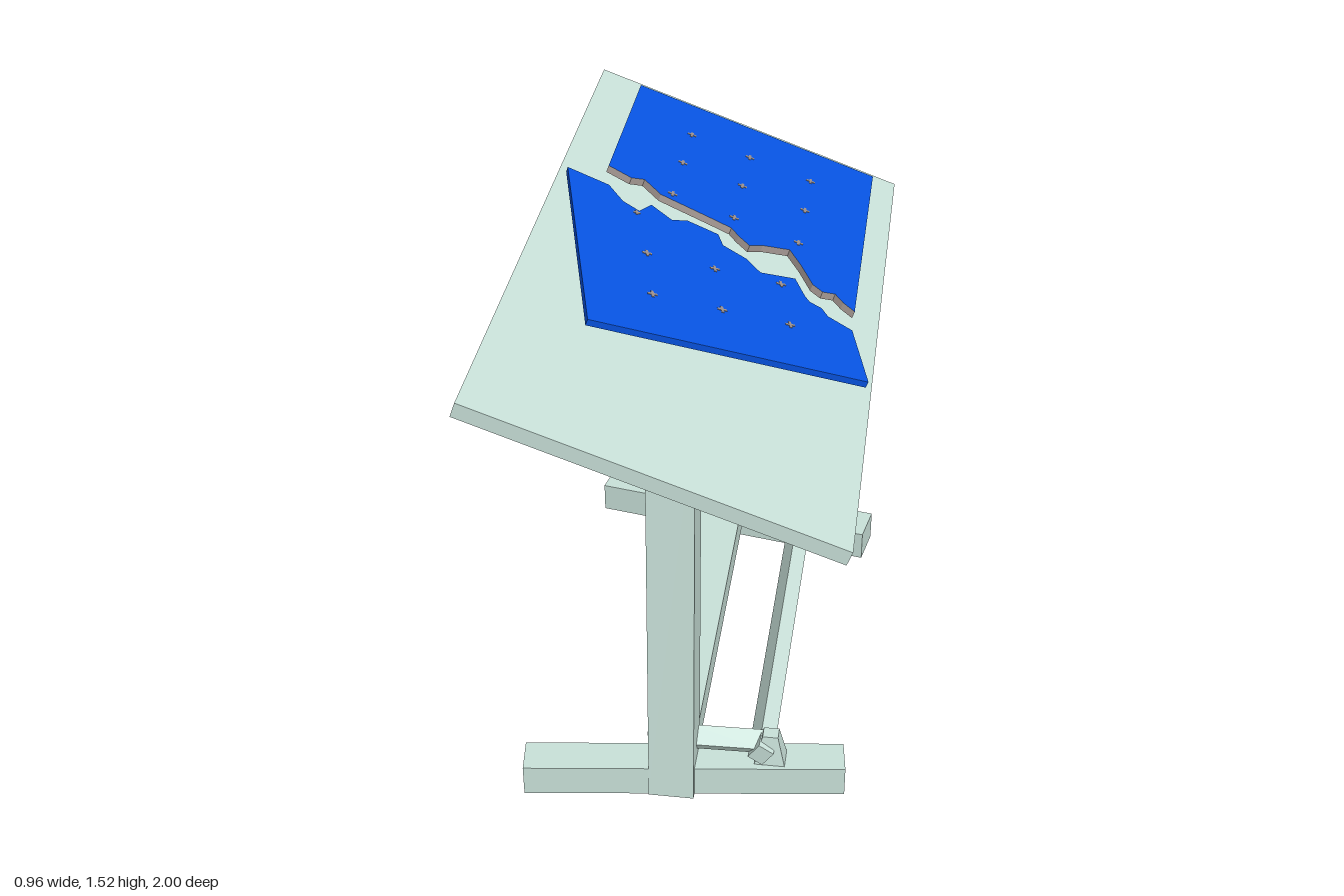
import * as THREE from 'three';

const mat = (name, color, side = THREE.FrontSide) => {
  const m = new THREE.MeshStandardMaterial({ color, side });
  m.name = name;
  return m;
};

export function createModel() {
  const root = new THREE.Group();
  root.name = 'tiltedTable';
  const paint = mat('paleGreenPaint', 0xcbe3db);
  const blue = mat('panelBlue', 0x0754e4, THREE.DoubleSide);
  const broken = mat('brokenEdgeGrey', 0x9c908b, THREE.DoubleSide);
  const TILT = THREE.MathUtils.degToRad(20);
  const COS = Math.cos(TILT);

  const add = (parent, name, geometry, material) => {
    const mesh = new THREE.Mesh(geometry, material);
    mesh.name = name;
    parent.add(mesh);
    return mesh;
  };

  // Box whose eight corners are placed by a rule of their signs
  const warpBox = (rule) => {
    const g = new THREE.BoxGeometry(2, 2, 2);
    const p = g.attributes.position;
    for (let i = 0; i < p.count; i++) p.setXYZ(i, ...rule(p.getX(i), p.getY(i), p.getZ(i)));
    const flat = g.toNonIndexed();
    flat.computeVertexNormals();
    return flat;
  };

  // Straight bar from a to b, rolled about its own length
  const bar = (name, a, b, w, h, roll) => {
    const from = new THREE.Vector3(...a), to = new THREE.Vector3(...b);
    const mesh = add(root, name, new THREE.BoxGeometry(w, h, from.distanceTo(to)), paint);
    mesh.position.copy(from).add(to).multiplyScalar(0.5);
    mesh.lookAt(to);
    mesh.rotateZ(roll);
  };

  // Tilted top
  const top = add(root, 'tableTop', new THREE.BoxGeometry(1.006, 0.042, 2), paint);
  top.position.y = 1.303;
  top.rotation.z = -TILT;

  // Leaning legs, cut to the slope of the top
  const leg = (name, zLow, zHigh, half) => add(root, name, warpBox((sx, sy, sz) => {
    const x = -0.015 + 0.065 * sx;
    return [x, sy < 0 ? 0.002 : 1.288 - 0.364 * x, (sy < 0 ? zLow : zHigh) + half * sz];
  }), paint);
  leg('frontLeg', 0.635, 0.565, 0.064);
  leg('backLeg', -0.685, -0.595, 0.065);

  // Feet, turned slightly toward each other
  const foot = (name, z, width, yaw) => {
    const mesh = add(root, name, new THREE.BoxGeometry(0.92, 0.096, width), paint);
    mesh.position.set(0.014, 0.048, z);
    mesh.rotation.y = yaw;
  };
  foot('frontFoot', 0.627, 0.107, 0.124);
  foot('backFoot', -0.655, 0.127, -0.187);

  // Low stretcher, foot rest bar and its arms
  const stretcher = add(root, 'stretcher', new THREE.BoxGeometry(0.14, 0.09, 1.26), paint);
  stretcher.position.set(-0.025, 0.11, -0.025);
  bar('footRest', [0.235, 0.137, 0.64], [0.252, 0.211, -0.675], 0.05, 0.058, 0.6);
  bar('frontArm', [0.03, 0.15, 0.6], [0.24, 0.155, 0.6], 0.06, 0.03, 0.5);
  bar('backArm', [0.03, 0.205, -0.655], [0.25, 0.222, -0.655], 0.05, 0.055, 0);
  add(root, 'footRestBracket', warpBox((sx, sy, sz) => [
    0.26 + (sy < 0 ? 0.045 : 0.022) * sx, sy < 0 ? 0.09 : 0.19, 0.6 + (sy < 0 ? 0.035 : 0.02) * sz,
  ]), paint);

  // Broken panel, laid just above the top
  const panel = new THREE.Group();
  panel.name = 'brokenPanel';
  panel.position.y = 1.341;
  panel.rotation.z = -TILT;
  root.add(panel);
  const THICK = 0.019;

  const walls = (upper, lower) => {
    const pos = [];
    const put = ([x, z], y) => pos.push(x / COS, y, z);
    for (let i = 0; i + 1 < upper.length; i++) {
      put(lower[i], 0); put(lower[i + 1], 0); put(upper[i + 1], THICK);
      put(lower[i], 0); put(upper[i + 1], THICK); put(upper[i], THICK);
    }
    const g = new THREE.BufferGeometry();
    g.setAttribute('position', new THREE.Float32BufferAttribute(pos, 3));
    g.computeVertexNormals();
    return g;
  };

  const cap = (outline) => new THREE.ShapeGeometry(
    new THREE.Shape(outline.map(([x, z]) => new THREE.Vector2(x / COS, -z))),
  ).rotateX(-Math.PI / 2);

  // Each piece has a plain rim and a jagged crack that leans out toward its foot
  const piece = (name, crack, rim, lean) => {
    const crackFoot = crack.map(([x, z]) => [x, z + lean]);
    const last = crack.length - 1;
    const underside = cap([...crackFoot, ...rim]);
    underside.index.array.reverse();
    underside.computeVertexNormals();
    add(panel, name + 'Underside', underside, blue);
    add(panel, name + 'Top', cap([...crack, ...rim]), blue).position.y = THICK;
    add(panel, name + 'CrackEdge', walls(crack, crackFoot), broken);
    add(panel, name + 'Rim', walls(
      [crack[last], ...rim, crack[0]], [crackFoot[last], ...rim, crackFoot[0]],
    ), blue);
  };
  piece('backPiece', [
    [-0.34, -0.33], [-0.27, -0.31], [-0.235, -0.33], [-0.18, -0.28], [-0.025, -0.255],
    [0.03, -0.245], [0.055, -0.215], [0.09, -0.185], [0.125, -0.215], [0.2, -0.25], [0.24, -0.185],
    [0.28, -0.105], [0.31, -0.085], [0.345, -0.1], [0.37, -0.07], [0.405, -0.045],
  ], [[0.405, -0.92], [-0.34, -0.92]], 0.006);
  piece('frontPiece', [
    [0.405, 0.06], [0.335, 0.035], [0.315, 0.005], [0.28, -0.005], [0.265, -0.025], [0.23, -0.1],
    [0.135, -0.06], [0.09, -0.105], [0.02, -0.13], [0, -0.18], [-0.09, -0.19],
    [-0.13, -0.16], [-0.195, -0.2], [-0.22, -0.14], [-0.27, -0.16], [-0.32, -0.22], [-0.44, -0.23],
  ], [[-0.25, 0.5], [0.465, 0.29]], -0.006);

  // Small grey crosses set out in a grid on each piece
  const cross = (x, z, turn, size = 0.028) => {
    for (const quarter of [0, Math.PI / 2]) {
      const mark = add(panel, 'gridCross', new THREE.BoxGeometry(size, 0.002, 0.008), broken);
      mark.position.set(x / COS, THICK + 0.0005, z);
      mark.rotation.y = turn + quarter;
    }
  };
  for (const x of [-0.15, 0.03, 0.22]) for (const z of [-0.72, -0.52, -0.31]) cross(x, z, 0);
  for (const i of [0, 1, 2]) for (const j of [0, 1]) {
    cross(-0.165 + 0.18 * i + 0.045 * j, 0.07 - 0.055 * i + 0.195 * j, 0.29);
  }
  cross(-0.225, -0.125, 0.29, 0.02);
  return root;
}
